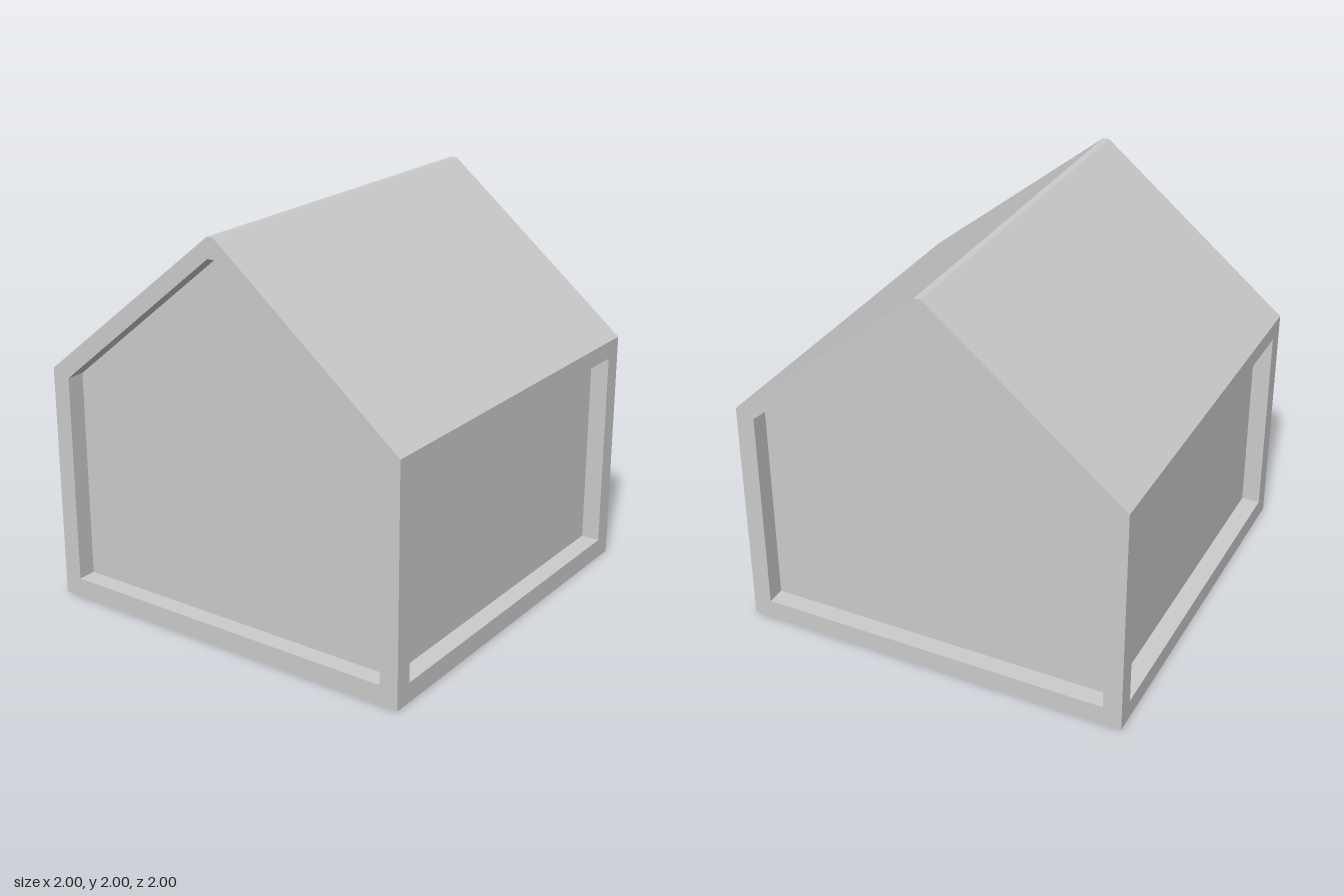
import * as THREE from 'three';

const INNER = 0.905; // half-size of the recessed core
const material = new THREE.MeshStandardMaterial({ color: 0xcccccc, flatShading: true });

// Closed outline from its right half, listed bottom to top, mirrored in x
function mirrored(half, Type = THREE.Shape) {
  const left = half.map(([x, y]) => [-x, y]).reverse();
  return new Type([...half, ...left].map(([x, y]) => new THREE.Vector2(x, y)));
}

function extruded(name, shape, depth, z) {
  const geometry = new THREE.ExtrudeGeometry(shape, { depth, bevelEnabled: false });
  const mesh = new THREE.Mesh(geometry, material);
  mesh.name = name;
  mesh.position.z = z;
  return mesh;
}

export function createModel() {
  const house = new THREE.Group();
  house.name = 'house';

  // Core: floor, roof slopes and flat ridge, with side walls set back between rails
  const core = mirrored([
    [1, 0], [1, 0.1], [INNER, 0.1], [INNER, 1.11], [1, 1.11], [1, 1.2], [0.017, 2],
  ]);
  house.add(extruded('wallsAndRoof', core, 2 * INNER, -INNER));

  // Gable frames: raised borders around the recessed front and back walls
  const frame = mirrored([[1, 0], [1, 1.2], [0.017, 2]]);
  frame.holes.push(mirrored([[INNER, 0.1], [INNER, 1.165], [0.017, 1.9]], THREE.Path));
  house.add(extruded('frontGableFrame', frame, 1 - INNER, INNER));
  house.add(extruded('backGableFrame', frame, 1 - INNER, -1));

  return house;
}
